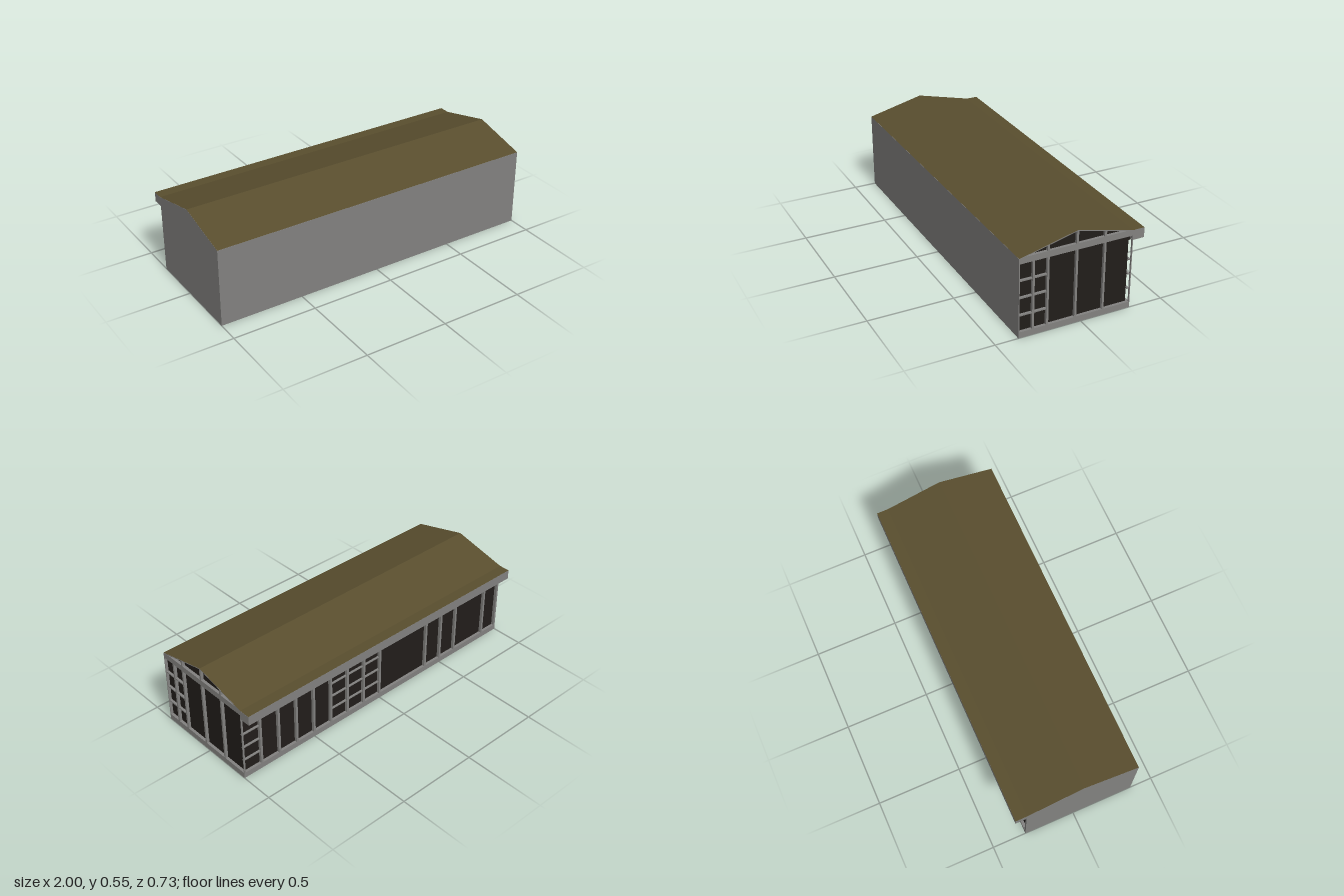
import * as THREE from 'three';

export function createModel() {
  const group = new THREE.Group();
  const grey = new THREE.MeshStandardMaterial({ color: 0x82817f });
  const glass = new THREE.MeshStandardMaterial({ color: 0x211d1a });
  const olive = new THREE.MeshStandardMaterial({ color: 0x594e2e, side: THREE.DoubleSide });

  const FRONT = 0.367, BACK = -0.3, EAVE = 0.468, RIDGE = 0.55, RIDGE_Z = 0.033;
  const BASE = 0.035, INSET = 0.983, BACK_GLASS = -0.283, LINTEL = 0.405, HEAD = 0.436;

  const add = (name, geometry, material = grey) => {
    const mesh = new THREE.Mesh(geometry, material);
    mesh.name = name;
    group.add(mesh);
  };

  // Box given by its limits on each axis
  const box = (name, [x0, x1], [y0, y1], [z0, z1], material) => {
    const g = new THREE.BoxGeometry(x1 - x0, y1 - y0, z1 - z0);
    g.translate((x0 + x1) / 2, (y0 + y1) / 2, (z0 + z1) / 2);
    add(name, g, material);
  };

  // Outline of [z, y] points extruded along x
  const slab = (name, points, x0, x1, material) => {
    const shape = new THREE.Shape(points.map(([z, y]) => new THREE.Vector2(-z, y)));
    const g = new THREE.ExtrudeGeometry(shape, { depth: x1 - x0, bevelEnabled: false });
    g.rotateY(Math.PI / 2).translate(x0, 0, 0);
    add(name, g, material);
  };

  // Closed shell: floor, front wall and plain gable end
  box('base', [-1, 1], [0, BASE], [BACK, FRONT]);
  box('frontWall', [-1, 1], [0, EAVE - 0.002], [FRONT - 0.005, FRONT]);
  slab('plainEndWall', [[FRONT, 0], [FRONT, EAVE - 0.002], [RIDGE_Z, RIDGE - 0.002],
    [BACK, EAVE - 0.002], [BACK, 0]], -1, -0.99);

  // Recessed glazing of the open end, its gable and the back
  box('endGlass', [INSET - 0.01, INSET], [BASE, 0.44], [BACK_GLASS, FRONT - 0.005], glass);
  box('endGlassCorner', [INSET - 0.01, INSET], [LINTEL, 0.44], [BACK + 0.005, BACK_GLASS], glass);
  slab('gableGlass', [[FRONT - 0.005, EAVE - 0.002], [RIDGE_Z, RIDGE - 0.003], [BACK + 0.005, EAVE - 0.002]],
    INSET - 0.01, INSET, glass);
  box('backGlass', [-0.99, INSET], [BASE, LINTEL], [BACK_GLASS, BACK_GLASS + 0.01], glass);

  // Open end frame, its header cut to the roof slope
  slab('endHeader', [[FRONT, HEAD], [FRONT, EAVE - 0.002], [FRONT - 0.024, 0.472],
    [BACK + 0.024, 0.472], [BACK, EAVE - 0.002], [BACK, HEAD]], INSET - 0.01, 1);
  box('cornerPost', [0.99, 1], [BASE, HEAD], [BACK, BACK + 0.005]);
  for (const z of [0.283, 0.2, RIDGE_Z, -0.133]) {
    box('endMullion', [INSET, 1], [BASE, HEAD], [z - 0.006, z + 0.006]);
    if (z < 0.25) {
      const top = RIDGE - 0.004 - Math.abs(z - RIDGE_Z) * (RIDGE - EAVE) / (FRONT - RIDGE_Z);
      box('gableMullion', [INSET, 1], [0.47, top], [z - 0.006, z + 0.006]);
    }
  }
  for (const y of [0.132, 0.235, 0.336]) {
    box('endGlazingBar', [INSET, 0.997], [y - 0.004, y + 0.004], [0.2, FRONT - 0.005]);
  }

  // Back frame on a regular grid with wider bays left open
  const gridX = k => 1 - k * 0.125;
  for (const k of [1, 2, 3, 4, 5, 6, 7, 8, 11, 12, 13, 15, 16]) {
    const x = Math.max(gridX(k), -0.993);
    box('backMullion', [x - 0.007, x + 0.007], [BASE, LINTEL + 0.005], [BACK, BACK_GLASS]);
  }
  for (const [from, to] of [[0, 1], [5, 8]]) {
    for (const y of [0.117, 0.205, 0.293]) {
      const right = Math.min(gridX(from), 0.995);
      box('backGlazingBar', [gridX(to), right], [y - 0.003, y + 0.003], [-0.295, BACK_GLASS]);
    }
  }
  box('backHeader', [-1, INSET - 0.005], [LINTEL, EAVE - 0.002], [BACK, BACK_GLASS + 0.01]);
  box('backEave', [-1, 1], [0.41, EAVE - 0.001], [-FRONT, BACK]);

  // Thin roof deck with a coloured covering
  const t = 0.005;
  slab('roofDeck', [[FRONT, EAVE - t], [FRONT, EAVE - 0.001], [RIDGE_Z, RIDGE - 0.001],
    [BACK, EAVE - 0.001], [BACK, EAVE - t], [RIDGE_Z, RIDGE - t]], -1, 1);
  const roofLine = [[FRONT, EAVE], [RIDGE_Z, RIDGE], [BACK, EAVE], [-FRONT, EAVE]];
  for (let i = 0; i < 3; i++) {
    const [z0, y0] = roofLine[i], [z1, y1] = roofLine[i + 1];
    const g = new THREE.PlaneGeometry(2, Math.hypot(z1 - z0, y1 - y0));
    g.rotateX(-Math.PI / 2 + Math.atan2(y1 - y0, z0 - z1));
    g.translate(0, (y0 + y1) / 2, (z0 + z1) / 2);
    add(['frontRoof', 'backRoof', 'eaveRoof'][i], g, olive);
  }
  return group;
}
